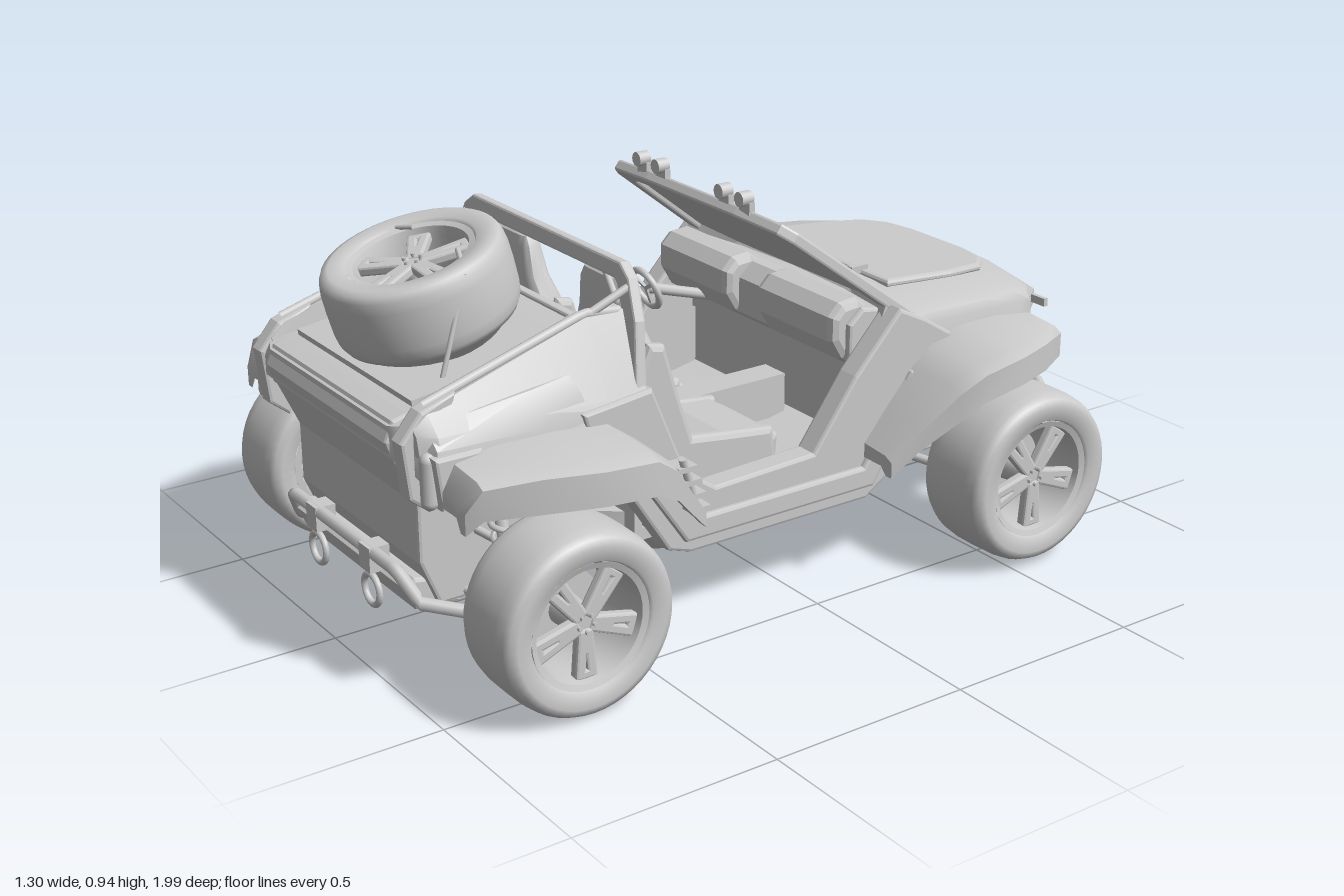
import * as THREE from 'three';
import { toCreasedNormals } from 'three/addons/utils/BufferGeometryUtils.js';

const mat = new THREE.MeshStandardMaterial({ color: 0xcccccc });
const V = (x, y, z) => new THREE.Vector3(x, y, z);

// Skin a list of rings [[x,y,z]...] with capped ends, always facing outward
function loft(rings) {
  const n = rings[0].length, m = rings.length, tris = [];
  const mid = r => [0, 1, 2].map(k => r.reduce((s, p) => s + p[k], 0) / n);
  const c0 = mid(rings[0]), c1 = mid(rings[m - 1]);
  for (let j = 0; j < n; j++) {
    const k = (j + 1) % n;
    for (let i = 0; i < m - 1; i++) {
      const [a, b, c, d] = [rings[i][j], rings[i][k], rings[i + 1][k], rings[i + 1][j]];
      tris.push([a, b, c], [a, c, d]);
    }
    tris.push([c0, rings[0][k], rings[0][j]], [c1, rings[m - 1][j], rings[m - 1][k]]);
  }
  let vol = 0;
  for (const t of tris) {
    const [a, b, c] = t.map(p => V(...p));
    vol += a.dot(b.cross(c));
  }
  if (vol < 0) tris.forEach(t => t.reverse());
  const g = new THREE.BufferGeometry();
  g.setAttribute('position', new THREE.Float32BufferAttribute(tris.flat(2), 3));
  return toCreasedNormals(g, 0.6);
}
// Half section [x,y]... from top centre to bottom centre, mirrored to a full ring at z
const ring = (z, half) => [...half, ...half.filter(p => p[0] > 0).reverse().map(p => [-p[0], p[1]])].map(p => [p[0], p[1], z]);
const shapeOf = pts => new THREE.Shape(pts.map(p => new THREE.Vector2(...p)));
// Plate with an opening, extruded along z with soft edges
function framePlate(outer, inner, depth) {
  const s = shapeOf(outer);
  if (inner) s.holes.push(shapeOf(inner));
  return new THREE.ExtrudeGeometry(s, { depth, bevelSize: .006, bevelThickness: .006, bevelSegments: 2 });
}

// Side outline [z,y]... extruded from x0 to x1
function side(pts, x0, x1, bevel = 0.008) {
  const g = new THREE.ExtrudeGeometry(shapeOf(pts), {
    depth: x1 - x0 - 2 * bevel, bevelSize: bevel, bevelThickness: bevel, bevelOffset: -bevel, bevelSegments: 2 });
  return g.rotateY(-Math.PI / 2).translate(x1 - bevel, 0, 0);
}
const box = (w, h, d, x, y, z) => new THREE.BoxGeometry(w, h, d).translate(x, y, z);
function tube(pts, r) {
  const c = new THREE.CurvePath();
  for (let i = 1; i < pts.length; i++) c.add(new THREE.LineCurve3(V(...pts[i - 1]), V(...pts[i])));
  return new THREE.TubeGeometry(c, pts.length * 8, r, 8);
}
function mirror(geo) {
  const g = geo.index ? geo.toNonIndexed() : geo.clone();
  g.scale(-1, 1, 1);
  for (const a of Object.values(g.attributes)) {
    const s = a.itemSize;
    for (let i = 0; i < a.count; i += 3)
      for (let k = 0; k < s; k++) {
        const p = i * s + k, q = (i + 2) * s + k;
        [a.array[p], a.array[q]] = [a.array[q], a.array[p]];
      }
  }
  return g;
}

// Wheel about the y axis, outer face up
function makeWheel(name) {
  const w = new THREE.Group();
  w.name = name;
  const put = (n, g) => { const o = new THREE.Mesh(g, mat); o.name = n; w.add(o); };
  const lathe = p => new THREE.LatheGeometry(p.map(q => new THREE.Vector2(...q)), 48);
  put('tyre', lathe([[.146, -.085], [.152, -.097], [.185, -.101], [.202, -.094], [.21, -.078], [.214, -.05], [.215, 0],
    [.214, .05], [.21, .078], [.202, .094], [.185, .101], [.152, .097], [.146, .085]]));
  put('rim', toCreasedNormals(lathe([[.146, .09], [.132, .085], [.127, .06], [.122, -.05], [.13, -.088], [.146, -.088]]), .5));
  put('brakeDisc', new THREE.CylinderGeometry(.09, .09, .02, 32).translate(0, -.03, 0));
  put('hub', new THREE.CylinderGeometry(.03, .04, .11, 20).translate(0, .01, 0));
  const spoke = framePlate([[.02, -.013], [.126, -.022], [.126, .022], [.02, .013]], [[.07, -.004], [.115, -.008], [.115, .008], [.07, .004]], .014);
  spoke.rotateX(-Math.PI / 2).translate(0, .05, 0);
  for (let i = 0; i < 5; i++) {
    put('spoke', spoke.clone().rotateY(i * Math.PI * .4));
    put('wheelNut', new THREE.CylinderGeometry(.005, .005, .02, 6).translate(.02, .068, 0).rotateY(i * Math.PI * .4));
  }
  return w;
}

export function createModel() {
  const model = new THREE.Group();
  const add = (name, geo) => { const o = new THREE.Mesh(geo, mat); o.name = name; model.add(o); };
  const pair = (name, geo) => { add(name + 'Left', geo); add(name + 'Right', mirror(geo)); };

  // Wheels and tilted spare on its cradle
  for (const [z, y, n] of [[.716, .217, 'rear'], [-.565, .227, 'front']])
    for (const s of [-1, 1]) {
      const w = makeWheel(n + 'Wheel');
      w.position.set(s * .55, y, z);
      w.rotation.z = -s * Math.PI / 2;
      model.add(w);
    }
  const spare = makeWheel('spareWheel');
  spare.position.set(0, .8, .742);
  spare.rotation.x = .265;
  spare.scale.y = .9;
  model.add(spare);
  add('spareCradle', new THREE.CylinderGeometry(.195, .16, .035, 32).rotateX(.265).translate(0, .7, .715));
  add('spareMount', new THREE.CylinderGeometry(.1, .12, .07, 24).rotateX(.2).translate(0, .67, .71));
  pair('spareStrap', tube([[.22, .65, .82], [.215, .74, .79], [.2, .88, .74], [.1, .9, .7]], .006));

  // Chassis pan
  const pan = (z, w, b, t) => ring(z, [[0, t], [w + .1, t], [w + .1, b + .09], [w, b], [0, b]]);
  add('underPan', loft([pan(-.42, .2, .19, .3), pan(-.34, .25, .16, .3), pan(-.2, .32, .16, .27), pan(.3, .32, .16, .27), pan(.44, .25, .16, .3), pan(.5, .2, .18, .3)]));
  add('frontChassis', side([[-.3, .17], [-.3, .5], [-.78, .5], [-.8, .25], [-.72, .18]], -.26, .26));
  add('bellyPlate', box(.5, .012, .5, 0, .156, .05));

  // Nose and bonnet
  const nose = (z, top, e, w, b) => ring(z, [[0, top], [e * .55, top - .004], [e, top - .022], [(e + w) / 2 + .008, top - .033], [w, top - .055], [w, b], [0, b]]);
  add('frontBody', loft([nose(-.26, .645, .39, .43, .44), nose(-.4, .652, .385, .42, .44), nose(-.6, .638, .36, .4, .44),
    nose(-.72, .625, .33, .375, .42), nose(-.78, .614, .3, .35, .3), nose(-.82, .604, .26, .315, .27), nose(-.845, .592, .22, .265, .27), nose(-.857, .575, .19, .225, .29)]));
  const panel = shapeOf([[-.25, .4], [-.245, .6], [-.225, .71], [-.18, .755], [-.1, .772], [.1, .772], [.18, .755], [.225, .71], [.245, .6], [.25, .4]]);
  add('bonnetPanel', new THREE.ExtrudeGeometry(panel, { depth: .006, bevelSize: .012, bevelThickness: .008, bevelSegments: 2 })
    .rotateX(-Math.PI / 2).rotateX(-.08).translate(0, .677, 0));
  pair('bonnetHinge', box(.02, .02, .05, .15, .66, -.385));
  add('grilleBand', loft([.52, .56].map(y => [[-.34, y, -.79], [-.24, y, -.85], [.24, y, -.85], [.34, y, -.79], [.3, y, -.842], [.22, y, -.863], [-.22, y, -.863], [-.3, y, -.842]])));
  pair('noseTab', box(.05, .02, .012, .35, .55, -.812));

  // Front bumper with tow hooks
  const bump = (x, z, d) => [[x, .2, z], [x, .25, z], [x, .27, z - d], [x, .235, z - d]];
  add('frontBumper', loft([bump(-.29, -.82, .06), bump(-.25, -.84, .1), bump(.25, -.84, .1), bump(.29, -.82, .06)]));
  add('frontSkid', side([[-.7, .17], [-.7, .24], [-.84, .25], [-.86, .22], [-.8, .185]], -.27, .27));
  add('frontBumperTube', tube([[-.29, .19, -.76], [-.285, .22, -.87], [-.265, .255, -.925], [-.22, .27, -.945], [.22, .27, -.945], [.265, .255, -.925], [.285, .22, -.87], [.29, .19, -.76]], .014));
  pair('bumperArm', tube([[.17, .2, -.72], [.17, .21, -.85], [.17, .26, -.94]], .016));
  pair('frontTowHook', new THREE.TorusGeometry(.03, .007, 8, 20).rotateY(Math.PI / 2).translate(.13, .27, -.962));

  // Windscreen leaning back with an arched top, frame and lamps
  const trap = (b, t, y0, y1) => [[-b, y0], [b, y0], [t + .006, y1 - .045], [t - .02, y1 - .015], [.18, y1], [-.18, y1], [.02 - t, y1 - .015], [-t - .006, y1 - .045]];
  const screen = new THREE.Group();
  screen.name = 'windscreen';
  screen.position.set(0, .637, -.33);
  screen.rotation.x = .918;
  for (const [n, g] of [['windscreenFrame', framePlate(trap(.405, .35, -.02, .418), trap(.37, .32, .025, .385), .018)],
    ['windscreenPane', framePlate(trap(.375, .327, .015, .395), null, .004)]]) {
    const o = new THREE.Mesh(g, mat);
    o.name = n;
    screen.add(o);
  }
  model.add(screen);
  add('scuttle', loft([[-.4, -.3], [-.2, -.345], [.2, -.345], [.4, -.3]].map(([x, z]) => [[x, .62, z - .03], [x, .645, z - .02], [x, .67, z + .03], [x, .62, z + .05]])));
  for (const x of [.13, .21]) {
    pair('roofLamp', new THREE.CylinderGeometry(.018, .018, .032, 16).rotateX(Math.PI / 2).translate(x, .922, .008));
    pair('roofLampBracket', box(.04, .03, .016, x, .9, 0));
  }

  // Door surround running from scuttle to rear quarter, with raised bands
  pair('doorSurround', side([[-.28, .66], [-.15, .52], [-.03, .355], [.25, .345], [.33, .4], [.42, .62], [.6, .6], [.57, .5], [.47, .36],
    [.38, .22], [.32, .2], [-.19, .2], [-.25, .24], [-.36, .44], [-.44, .5], [-.44, .57], [-.36, .62]], .375, .44));
  pair('sillBand', side([[-.42, .54], [-.31, .5], [-.17, .29], [.3, .29], [.42, .47], [.56, .54], [.57, .5], [.46, .41],
    [.34, .235], [-.2, .235], [-.34, .45], [-.43, .5]], .41, .455));

  // Fenders: strips over each wheel, swept down toward the cabin
  const fender = rows => loft(rows.map(([z, y, w, lip]) =>
    [[.42, y + .008, z], [.42 + w * .8, y, z], [.42 + w, y - .012, z], [.42 + w, y - lip, z], [.42 + w - .02, y - lip, z], [.42 + w * .75, y - .03, z], [.42, y - .03, z]]));
  pair('frontFender', fender([[-.735, .52, .09, .05], [-.71, .55, .115, .07], [-.6, .565, .18, .08], [-.5, .565, .215, .08], [-.38, .545, .215, .08], [-.32, .5, .19, .08], [-.24, .41, .145, .06], [-.18, .34, .12, .05]]));
  pair('rearFender', fender([[.94, .5, .1, .06], [.91, .555, .125, .08], [.8, .57, .175, .09], [.67, .57, .218, .09], [.54, .56, .218, .09], [.47, .51, .19, .08], [.4, .42, .145, .06], [.35, .36, .12, .05]]));

  // Rear body, tail and sail panels
  const tail = (z, top, e, w, b) => ring(z, [[0, top], [e, top], [w, .59], [w, b], [0, b]]);
  add('rearBody', loft([tail(.43, .7, .38, .435, .46), tail(.7, .665, .39, .43, .47), tail(.94, .63, .37, .415, .49), tail(.97, .62, .31, .35, .53), tail(.985, .615, .28, .31, .545)]));
  add('rearTub', side([[.43, .17], [.43, .56], [.985, .56], [.975, .53], [.925, .42], [.925, .28], [.88, .17]], -.285, .285));
  add('tailLip', side([[.93, .6], [.94, .635], [.975, .625], [.995, .58], [.98, .535], [.95, .535]], -.29, .29));
  add('deckPanel', box(.54, .014, .4, 0, 0, 0).rotateX(.137).translate(0, .673, .72));
  // Sails lean inward to a rail that runs back to the tail posts
  const sail = (z, y, x, w) => [[w, .57, z], [w - .012, .615, z], [x + .02, y, z], [x - .025, y, z], [x - .035, .57, z]];
  pair('sailPanel', loft([sail(.43, .78, .325, .44), sail(.53, .78, .325, .438), sail(.93, .66, .335, .415), sail(.965, .63, .335, .385)]));
  pair('sailRail', tube([[.335, .775, .44], [.335, .785, .53], [.336, .665, .93]], .012));
  pair('tailPost', side([[.86, .69], [.945, .66], [.995, .6], [.98, .47], [.93, .43]], .312, .36));
  pair('tailLamp', new THREE.CapsuleGeometry(.02, .09, 6, 14).translate(.392, .52, .95));
  pair('tailCorner', side([[.84, .47], [.84, .58], [.955, .58], [.94, .46]], .35, .43));

  // Roll hoop behind the seats
  const hoopOuter = [[-.43, .56], [-.405, .56], [.405, .56], [.43, .56], [.39, .76], [.35, .845], [.315, .87], [-.315, .87], [-.35, .845], [-.39, .76]];
  add('rollHoop', framePlate(hoopOuter, [[-.36, .7], [.36, .7], [.35, .76], [.315, .83], [.3, .84], [-.3, .84], [-.315, .83], [-.35, .76]], .016)
    .translate(0, -.715, 0).rotateX(-.12).translate(0, .715, .42));
  pair('hoopBrace', tube([[.26, .71, .43], [.3, .78, .42], [.24, .85, .415]], .008));
  pair('hoopStay', tube([[.35, .83, .42], [.335, .78, .52]], .01));
  add('bulkhead', box(.78, .45, .02, 0, .45, .43));

  // Cabin: floor, tunnel, dashboard, steering
  add('cabinFloor', box(.78, .03, .78, 0, .255, .05));
  add('tunnel', box(.08, .14, .66, 0, .31, .08));
  add('firewall', box(.78, .36, .02, 0, .44, -.28));
  add('dashboard', side([[-.3, .5], [-.3, .64], [-.22, .655], [-.18, .62], [-.18, .53], [-.22, .5]], -.375, .375));
  pair('dashPod', side([[-.25, .54], [-.25, .65], [-.22, .675], [-.17, .67], [-.14, .64], [-.14, .58], [-.17, .53], [-.21, .52]], .06, .36, .02));
  add('steeringColumn', tube([[-.2, .53, -.2], [-.2, .59, .0]], .014));
  const steer = V(-.2, .59, .005);
  add('steeringWheel', new THREE.TorusGeometry(.052, .009, 8, 28).rotateX(.35).translate(...steer));
  for (const a of [0, 2.1, 4.2])
    add('steeringSpoke', box(.05, .01, .006, .026, 0, 0).rotateZ(a - Math.PI / 2).rotateX(.35).translate(...steer));

  // Bucket seats
  const pad = ([y, z, w, d]) => Array.from({ length: 20 }, (_, i) => {
    const a = i * Math.PI / 10, r = v => Math.sign(v) * Math.sqrt(Math.abs(v));
    return [.19 + w * r(Math.cos(a)), y, z + d * r(Math.sin(a))];
  });
  pair('seatBack', loft([[.34, .29, .11, .05], [.5, .315, .122, .05], [.6, .345, .126, .05], [.67, .36, .116, .042], [.72, .37, .09, .034],
    [.79, .378, .08, .026], [.815, .38, .066, .02], [.825, .38, .04, .008]].map(pad)));
  pair('seatCushion', side([[-.02, .26], [-.03, .36], [.02, .39], [.13, .4], [.28, .37], [.32, .26]], .07, .31, .02));
  for (const x of [.055, .285])
    pair('seatBolster', side([[-.01, .3], [0, .39], [.12, .405], [.23, .42], [.27, .54], [.305, .66], [.35, .67], [.38, .6], [.33, .3]], x, x + .04, .014));

  // Suspension: arms, half shafts, coil springs and dampers
  for (const [z, n] of [[.716, 'rear'], [-.565, 'front']]) {
    for (const dz of [-.11, .11]) {
      pair(n + 'LowerArm', tube([[.25, .19, z + dz], [.47, .16, z]], .012));
      pair(n + 'UpperArm', tube([[.25, .33, z + dz * .7], [.47, .29, z]], .01));
      const coil = [];
      for (let i = 0; i <= 48; i++) {
        const t = i / 48, a = t * Math.PI * 12;
        coil.push(V(.42 - .06 * t + .026 * Math.cos(a), .27 + .2 * t, z + dz * .55 + .026 * Math.sin(a)));
      }
      pair(n + 'Spring', new THREE.TubeGeometry(new THREE.CatmullRomCurve3(coil), 144, .007, 5));
      pair(n + 'Damper', tube([[.43, .2, z + dz * .55], [.355, .49, z + dz * .55]], .015));
    }
    pair(n + 'HalfShaft', tube([[.2, .25, z], [.52, .22, z]], .016));
    pair(n + 'Upright', box(.05, .18, .08, .455, .225, z));
  }

  // Rear bumper tube, skid and shackles; side brackets
  add('rearBumper', tube([[-.4, .165, .8], [-.29, .19, .93], [-.25, .265, .965], [.25, .265, .965], [.29, .19, .93], [.4, .165, .8]], .016));
  add('rearSkid', side([[.82, .155], [.82, .22], [.93, .24], [.955, .22], [.93, .165]], -.27, .27));
  pair('shackleMount', box(.05, .06, .05, .13, .25, .955));
  pair('shackle', new THREE.TorusGeometry(.036, .008, 8, 20).translate(.13, .17, .965));
  for (let i = 0; i < 4; i++) pair('sideBracket', box(.06, .012, .05, .465, .33 + i * .035, .33 + i * .012));
  pair('sideBracketPost', tube([[.485, .31, .33], [.485, .46, .375]], .01));
  return model;
}
